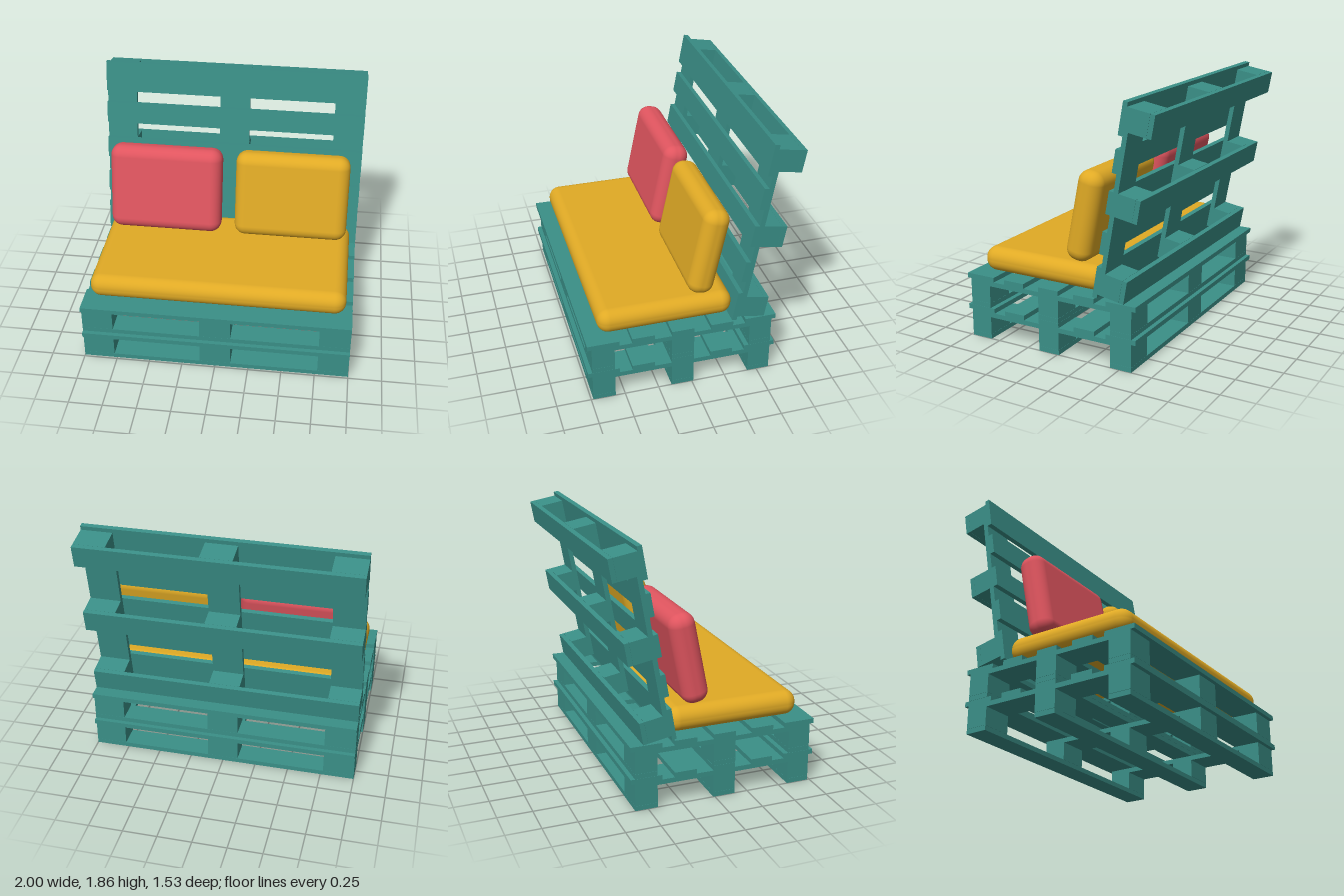
import * as THREE from 'three';
import { RoundedBoxGeometry } from 'three/addons/geometries/RoundedBoxGeometry.js';

const material = (name, color) => {
  const m = new THREE.MeshStandardMaterial({ color });
  m.name = name;
  return m;
};

export function createModel() {
  const teal = material('teal painted wood', 0x3a8f87);
  const yellow = material('yellow fabric', 0xe0aa25);
  const red = material('red fabric', 0xe0555f);
  const model = new THREE.Group();
  model.name = 'palletSofa';

  const box = (parent, name, w, h, d, x, y, z) => {
    const mesh = new THREE.Mesh(new THREE.BoxGeometry(w, h, d), teal);
    mesh.name = name;
    mesh.position.set(x, y, z);
    parent.add(mesh);
  };

  // One pallet, standing on y = 0 and centred on x and z
  const T = 0.035;
  const pallet = (name) => {
    const g = new THREE.Group();
    g.name = name;
    for (const z of [-0.582, 0, 0.582]) {
      box(g, 'bottomRunner', 2, T, 0.164, 0, T / 2, z);
      for (const x of [-0.885, 0, 0.885]) {
        box(g, 'spacerBlock', 0.23, 0.133, 0.164, x, 0.1025, z);
      }
    }
    for (const x of [-0.885, 0, 0.885]) {
      box(g, 'crossBoard', 0.23, T, 1.328, x, 0.1865, 0);
    }
    // Deck boards: wide at both edges, narrow between
    for (const [z, d] of [[-0.58, 0.23], [-0.29, 0.164], [0, 0.164], [0.29, 0.164], [0.58, 0.23]]) {
      box(g, 'deckBoard', 2, T, d, 0, 0.2215, z);
    }
    model.add(g);
    return g;
  };

  // Two stacked pallets form the base
  pallet('lowerPallet').position.set(0, 0, 0.07);
  pallet('upperPallet').position.set(0, 0.24, 0.07);

  // The backrest pallet leans back by 10 degrees, deck facing forward
  const back = pallet('backrestPallet');
  const tilt = THREE.MathUtils.degToRad(80);
  back.rotation.x = tilt;
  back.position.set(0, 1.178 - 0.239 * Math.cos(tilt), -0.412 - 0.239 * Math.sin(tilt));

  // Cushions
  const cushion = (name, mat, w, h, d, r, x, y, z, lean = 0) => {
    const mesh = new THREE.Mesh(new RoundedBoxGeometry(w, h, d, 5, r), mat);
    mesh.name = name;
    mesh.position.set(x, y, z);
    mesh.rotation.x = lean;
    model.add(mesh);
  };
  cushion('seatCushion', yellow, 1.895, 0.182, 0.985, 0.085, 0, 0.586, 0.173);
  cushion('rightBackCushion', red, 0.865, 0.67, 0.195, 0.085, -0.487, 1.003, -0.15, -0.2);
  cushion('leftBackCushion', yellow, 0.865, 0.67, 0.195, 0.085, 0.483, 1.003, -0.15, -0.2);

  return model;
}
